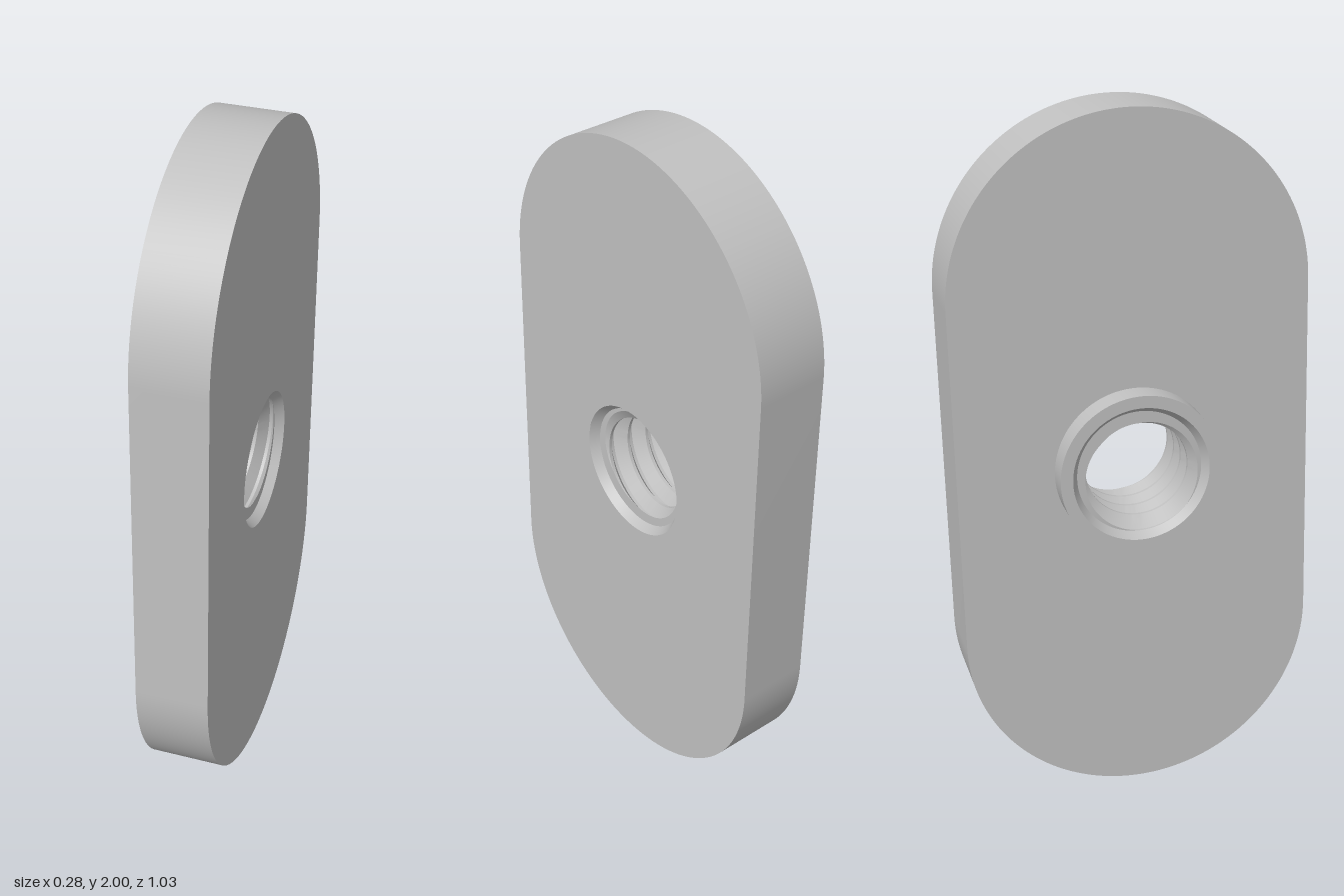
import * as THREE from 'three';
import { toCreasedNormals } from 'three/addons/utils/BufferGeometryUtils.js';

const PLATE_BACK = -0.07, PLATE_FRONT = 0.14, BOSS_END = -0.14;
const CAP_R = 0.504, HALF = 0.496, TILT = 0.0242;
const MOUTH_R = 0.195, MAJOR_R = 0.178, MINOR_R = 0.143, BOSS_R = 0.23;
const CHAMFER = 0.025, PITCH = 0.066;

// Revolved profile of [radius, x] points about the x axis
function latheX(points) {
  const g = new THREE.LatheGeometry(points.map(([r, x]) => new THREE.Vector2(r, x)), 96);
  g.rotateZ(-Math.PI / 2);
  return toCreasedNormals(g, 0.5);
}

// Rounded plate with a hole, extruded along x
function plateGeometry() {
  const shape = new THREE.Shape();
  shape.absarc(0, HALF, CAP_R, 0, Math.PI, false);
  shape.absarc(0, -HALF, CAP_R, Math.PI, Math.PI * 2, false);
  shape.closePath();
  const hole = new THREE.Path();
  hole.absarc(0, 0, MOUTH_R, 0, Math.PI * 2, true);
  shape.holes.push(hole);
  const g = new THREE.ExtrudeGeometry(shape, {
    depth: PLATE_FRONT - PLATE_BACK, bevelEnabled: false, curveSegments: 64,
  });
  g.rotateZ(-TILT);
  g.rotateY(Math.PI / 2);
  g.translate(PLATE_BACK, 0, 0);
  return toCreasedNormals(g, 0.5);
}

// Inward-facing helical thread, trimmed flat at both ends
function threadGeometry(x0, x1) {
  const profile = [[0, MINOR_R], [0.14, MINOR_R], [0.5, MAJOR_R], [0.64, MAJOR_R], [1, MINOR_R]];
  const radiusAt = (t) => {
    const f = t - Math.floor(t);
    const k = profile.findIndex((p, i) => i > 0 && f <= p[0]);
    const [a, ra] = profile[k - 1], [b, rb] = profile[k];
    return ra + (rb - ra) * (f - a) / (b - a);
  };
  const turns = Math.ceil((x1 - x0) / PITCH) + 1;
  const steps = [];
  for (let k = -1; k < turns; k++) {
    for (let i = 0; i < 4; i++) steps.push(k + profile[i][0]);
  }
  const point = (i, j) => {
    const turn = j / 96, a = turn * Math.PI * 2;
    let x, r;
    if (i === 0 || i === steps.length + 1) {
      x = i === 0 ? x0 : x1;
      r = MAJOR_R;
    } else {
      x = THREE.MathUtils.clamp(x0 + (steps[i - 1] + turn) * PITCH, x0, x1);
      r = radiusAt((x - x0) / PITCH - turn + 1e-7);
    }
    return new THREE.Vector3(x, r * Math.cos(a), r * Math.sin(a));
  };
  const pos = [];
  const triangle = (a, b, c) => {
    const area = b.clone().sub(a).cross(c.clone().sub(a)).length();
    if (area > 1e-9) for (const p of [a, b, c]) pos.push(p.x, p.y, p.z);
  };
  for (let i = 0; i <= steps.length; i++) {
    for (let j = 0; j < 96; j++) {
      const a = point(i, j), b = point(i + 1, j), c = point(i + 1, j + 1), d = point(i, j + 1);
      triangle(a, b, d);
      triangle(b, c, d);
    }
  }
  const g = new THREE.BufferGeometry();
  g.setAttribute('position', new THREE.Float32BufferAttribute(pos, 3));
  return toCreasedNormals(g, 0.5);
}

export function createModel() {
  const model = new THREE.Group();
  model.name = 'slotNut';
  const steel = new THREE.MeshStandardMaterial({ color: 0xc0c0c0 });
  steel.name = 'steel grey';

  const add = (name, geometry) => {
    const mesh = new THREE.Mesh(geometry, steel);
    mesh.name = name;
    mesh.position.y = 1;
    model.add(mesh);
  };

  add('plate', plateGeometry());
  add('boss', latheX([
    [MAJOR_R, BOSS_END + CHAMFER], [MOUTH_R, BOSS_END], [BOSS_R, BOSS_END], [BOSS_R, PLATE_BACK],
  ]));
  add('countersink', latheX([[MOUTH_R, PLATE_FRONT], [MAJOR_R, PLATE_FRONT - CHAMFER]]));
  add('thread', threadGeometry(BOSS_END + CHAMFER, PLATE_FRONT - CHAMFER));
  return model;
}
